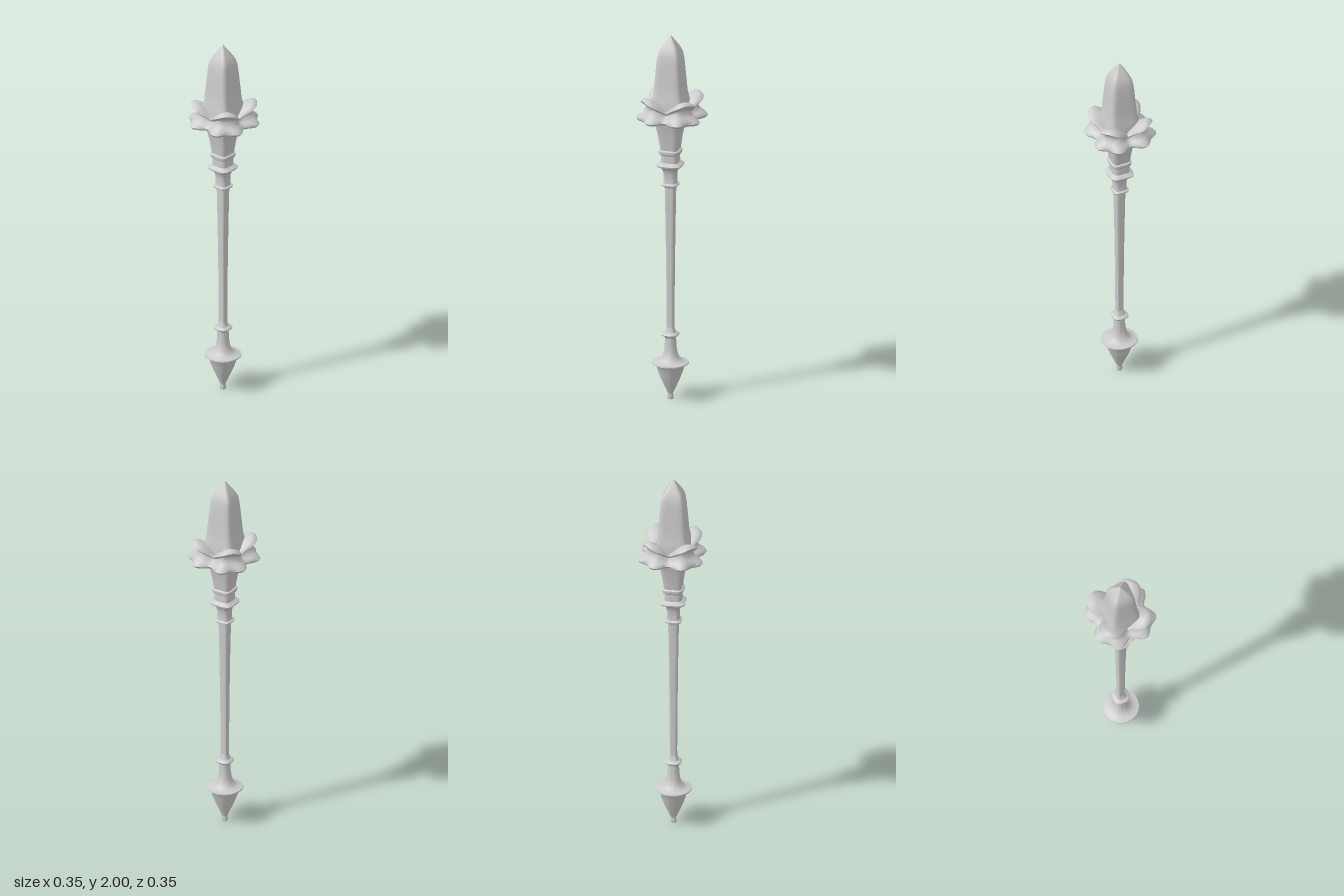
import * as THREE from 'three';
import { toCreasedNormals } from 'three/addons/utils/BufferGeometryUtils.js';

const SEG = 64;
const AXIS = -0.008; // the rod sits a hair off the centre line

// Joins closed rings of points, bottom to top; point(ring, angle) gives [radius, y]
function loft(rings, point, crease) {
  const pos = [], index = [];
  rings.forEach((ring, i) => {
    for (let j = 0; j < SEG; j++) {
      const a = (j / SEG) * Math.PI * 2;
      const [r, y] = point(ring, a);
      pos.push(r * Math.sin(a), y, r * Math.cos(a));
      if (i === 0) continue;
      const k = (j + 1) % SEG, lo = (i - 1) * SEG, hi = i * SEG;
      index.push(lo + j, lo + k, hi + k, lo + j, hi + k, hi + j);
    }
  });
  const geo = new THREE.BufferGeometry();
  geo.setAttribute('position', new THREE.Float32BufferAttribute(pos, 3));
  geo.setIndex(index);
  return toCreasedNormals(geo, crease);
}

// Rounded-square section: [half width, y], power 2 is a circle, higher is squarer
const squareLoft = (profile, power, crease = 0.6) => loft(profile, ([h, y], a) => {
  const c = Math.abs(Math.cos(a)) ** power, s = Math.abs(Math.sin(a)) ** power;
  return [h / (c + s) ** (1 / power), y];
}, crease);

// Lobed section: [y, radius at side, at lobe, at corner]; the rim dips at the sides
const lobedLoft = (profile) => loft(profile, ([y, side, lobe, corner], a) => {
  const a1 = (side - corner) / 2;
  const a2 = ((side + corner) / 2 - lobe) / 2;
  const r = lobe + a2 + a1 * Math.cos(4 * a) + a2 * Math.cos(8 * a);
  const s = ((1 - Math.cos(4 * a)) / 2) ** 0.7;
  const base = 1.56;
  return [r, y > base ? base + (y - base) * (0.4 + 0.6 * s) : y];
}, 1.0);

export function createModel() {
  const group = new THREE.Group();
  const material = new THREE.MeshStandardMaterial({ color: 0xcccccc });
  const add = (name, geo, x = AXIS) => {
    const mesh = new THREE.Mesh(geo, material);
    mesh.name = name;
    mesh.position.x = x;
    group.add(mesh);
  };

  // Round pointed pommel with a sharp rim
  add('pommel', squareLoft([
    [0, 0], [0.014, 0.001], [0.016, 0.012], [0.013, 0.03], [0.022, 0.05], [0.035, 0.08],
    [0.05, 0.115], [0.063, 0.15], [0.072, 0.18], [0.08, 0.192], [0.095, 0.198], [0.094, 0.204],
    [0.07, 0.209], [0.053, 0.22], [0.041, 0.24], [0.034, 0.265], [0.03, 0.3], [0.029, 0.345],
  ], 2.1));

  // Small ring above the pommel
  add('lowerRing', squareLoft([
    [0.026, 0.335], [0.03, 0.343], [0.042, 0.351], [0.044, 0.357], [0.04, 0.363],
    [0.028, 0.368], [0.023, 0.38], [0.018, 0.4],
  ], 2.8));

  // Slim squared shaft, slightly wider at the top
  add('shaft', squareLoft([
    [0.019, 0.37], [0.018, 0.42], [0.02, 0.7], [0.023, 0.95], [0.027, 1.18],
  ], 5));

  // Three stacked mouldings between shaft and head
  add('upperMouldings', squareLoft([
    [0.027, 1.165], [0.031, 1.17], [0.042, 1.175], [0.043, 1.183], [0.034, 1.189],
    [0.032, 1.2], [0.033, 1.24], [0.038, 1.262], [0.047, 1.275], [0.064, 1.284],
    [0.066, 1.292], [0.056, 1.298], [0.046, 1.306], [0.045, 1.345], [0.053, 1.351],
    [0.056, 1.36], [0.055, 1.37], [0.046, 1.376], [0.046, 1.385],
  ], 4));

  // Flared neck under the head
  add('neck', squareLoft([
    [0.046, 1.37], [0.05, 1.4], [0.057, 1.45], [0.067, 1.5], [0.076, 1.535], [0.08, 1.56],
  ], 5));

  // Lobed collar: wide lower flange, narrow waist and raised corner knobs
  add('collar', lobedLoft([
    [1.55, 0.06, 0.06, 0.06], [1.543, 0.1, 0.13, 0.13], [1.545, 0.13, 0.178, 0.165],
    [1.556, 0.137, 0.187, 0.172], [1.575, 0.13, 0.174, 0.164], [1.59, 0.117, 0.152, 0.15],
    [1.61, 0.105, 0.133, 0.14], [1.63, 0.102, 0.13, 0.142], [1.646, 0.107, 0.147, 0.16],
    [1.66, 0.108, 0.157, 0.172], [1.671, 0.1, 0.148, 0.162], [1.674, 0.093, 0.13, 0.145],
    [1.666, 0.086, 0.11, 0.125], [1.655, 0.076, 0.09, 0.1],
  ]), 0);

  // Four-sided spike with a pyramid tip
  add('spike', squareLoft([
    [0.09, 1.56], [0.088, 1.63], [0.083, 1.66], [0.077, 1.69], [0.073, 1.74], [0.068, 1.8],
    [0.064, 1.85], [0.059, 1.89], [0.053, 1.912], [0.04, 1.938], [0.02, 1.97], [0.0005, 2],
  ], 6));

  return group;
}
